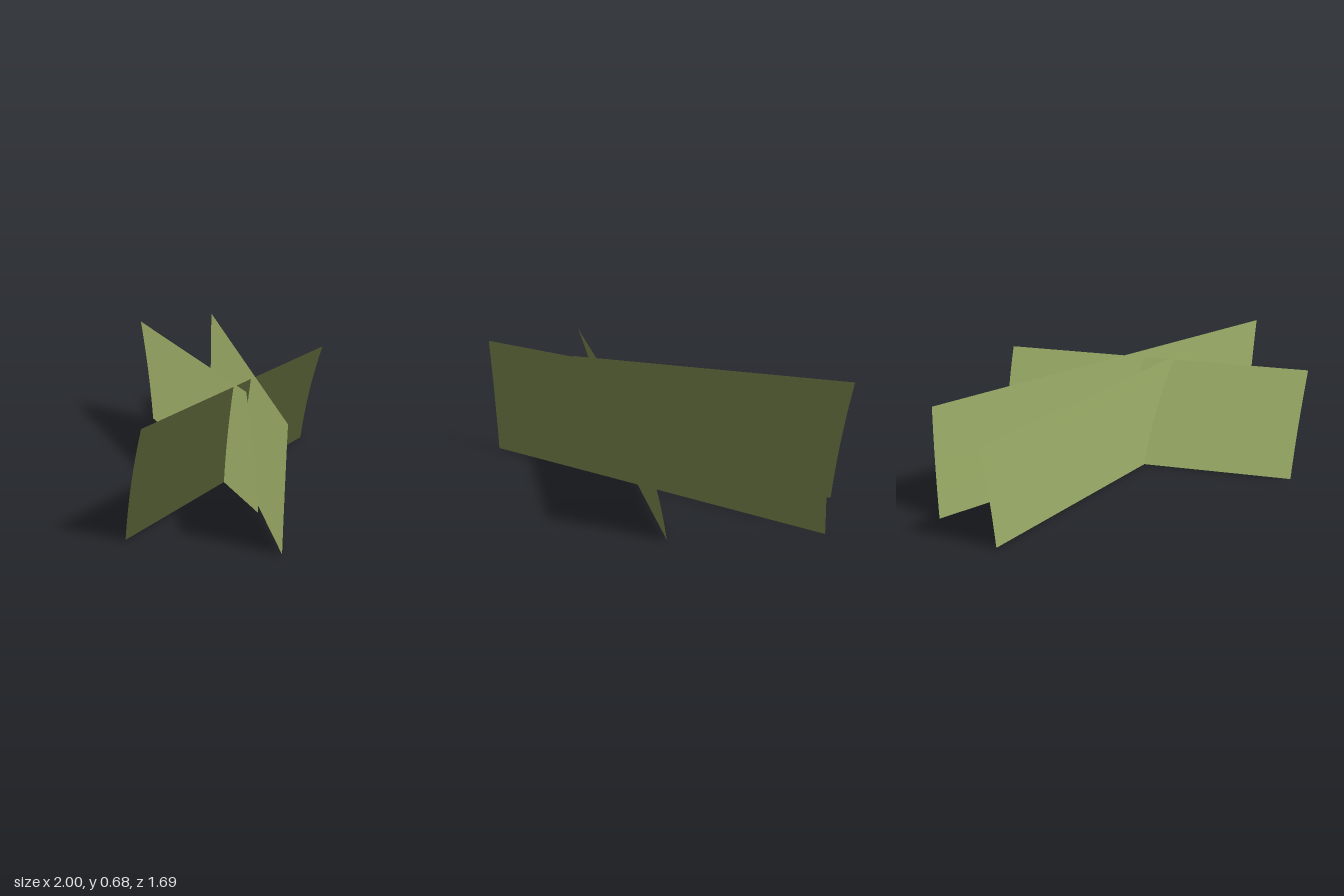
import * as THREE from 'three';

const leafGreen = new THREE.MeshStandardMaterial({ color: 0x8a9a5b, side: THREE.DoubleSide });
leafGreen.name = 'leafGreen';

// Upright card between two ground points [x, z]; its top is shifted by lean
// [x, z], and the lean grows towards the top so the card bows slightly.
function makeCard(name, start, end, height, lean) {
  const geometry = new THREE.PlaneGeometry(1, 1, 1, 8);
  const { position, normal } = geometry.attributes;
  // Foliage normals: nearly straight up, tipped a little to the card's face
  const face = new THREE.Vector3(start[1] - end[1], 0, end[0] - start[0]).setLength(0.2);
  const soft = new THREE.Vector3(0, 1, 0).add(face).normalize();
  for (let i = 0; i < position.count; i++) {
    const u = position.getX(i) + 0.5;
    const t = position.getY(i) + 0.5;
    const bow = 0.55 * t + 0.45 * t * t;
    position.setXYZ(
      i,
      THREE.MathUtils.lerp(start[0], end[0], u) + lean[0] * bow,
      height * t,
      THREE.MathUtils.lerp(start[1], end[1], u) + lean[1] * bow
    );
    normal.setXYZ(i, soft.x, soft.y, soft.z);
  }
  const mesh = new THREE.Mesh(geometry, leafGreen);
  mesh.name = name;
  return mesh;
}

export function createModel() {
  const group = new THREE.Group();
  group.name = 'grassClump';
  group.add(
    // Straight diagonal card
    makeCard('diagonalCard', [-0.8, -0.805], [0.975, 0.376], 0.675, [0.025, 0.016]),
    // Card leaning towards the right
    makeCard('sidewaysCard', [-0.91, -0.385], [0.58, 0.135], 0.65, [-0.09, 0.014]),
    // Front-to-back card leaning towards the left
    makeCard('lengthwiseCard', [-0.01, -0.85], [0.35, 0.835], 0.63, [0.155, 0.009])
  );
  return group;
}
